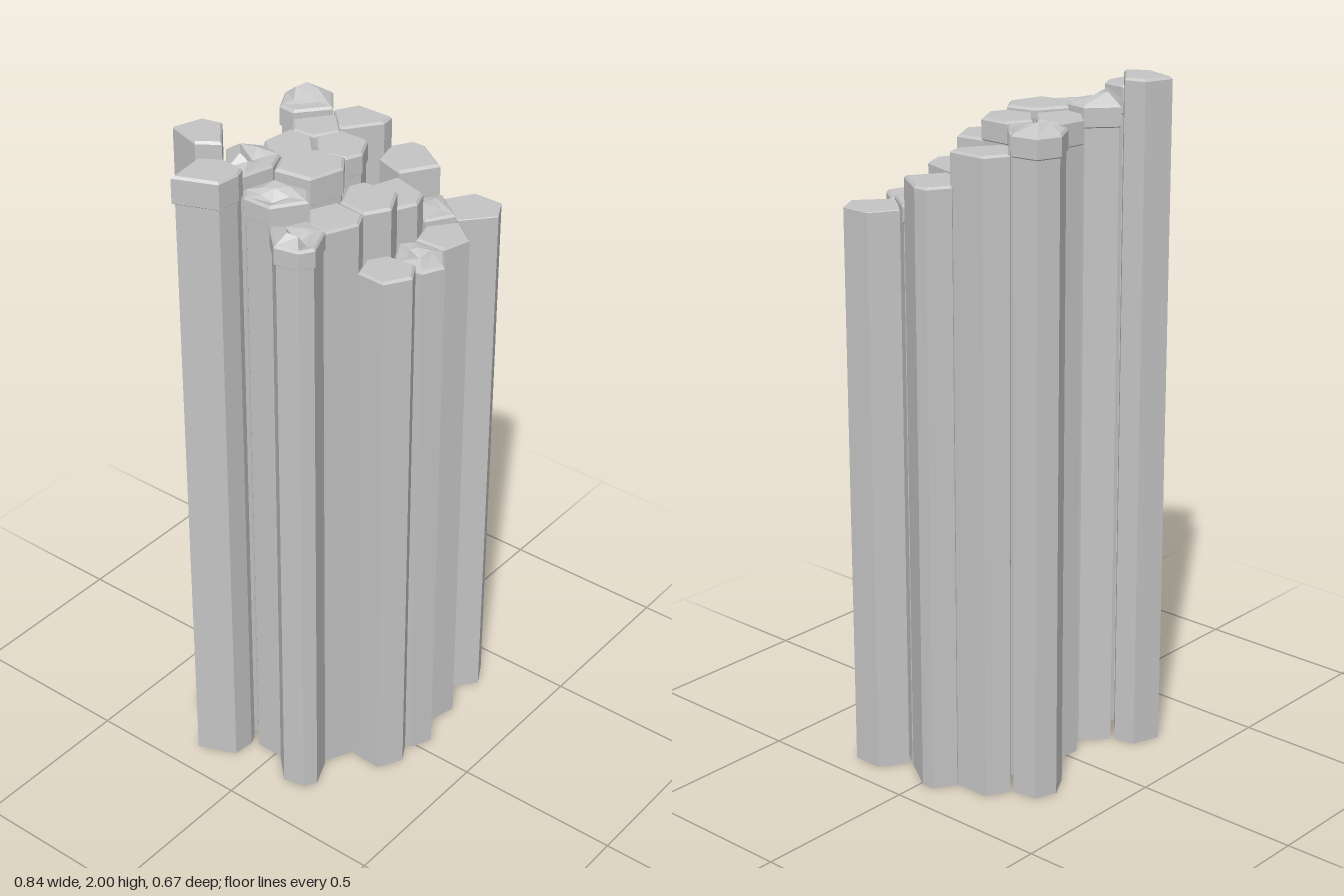
import * as THREE from 'three';

const stone = new THREE.MeshStandardMaterial({ color: 0xc4c4c4 });
stone.name = 'grey basalt';

// One prism column: corners are x, z pairs going clockwise seen from above.
// lip: depth of an overhanging head. chip: raised or sunken inner corners, then the middle.
function column(group, name, height, corners, { lip = 0, chip = null, bevel = 0.007 } = {}) {
  const n = corners.length / 2;
  let cx = 0, cz = 0;
  for (let i = 0; i < n; i++) {
    cx += corners[2 * i] / n;
    cz += corners[2 * i + 1] / n;
  }
  const ring = (scale, y, offsets) => Array.from({ length: n }, (_, i) => [
    cx + (corners[2 * i] - cx) * scale,
    y + (offsets ? offsets[i] : 0),
    cz + (corners[2 * i + 1] - cz) * scale,
  ]);
  const inset = (d) => 1 - d / 0.075;

  // cross-sections from the ground up
  const rings = [];
  if (lip) {
    rings.push(ring(inset(0.006), 0), ring(inset(0.006), height - lip - 0.004), ring(1, height - lip));
  } else {
    rings.push(ring(1, 0));
  }
  rings.push(ring(1, height - bevel), ring(inset(bevel), height));
  if (chip) rings.push(ring(0.45, height, chip));

  const pos = [];
  const tri = (a, b, c) => pos.push(...a, ...b, ...c);
  const top = rings[rings.length - 1];
  const middle = [cx, height + (chip ? chip[n] : 0), cz];
  for (let i = 0; i < n; i++) {
    const j = (i + 1) % n;
    for (let k = 0; k + 1 < rings.length; k++) {
      const lo = rings[k], hi = rings[k + 1];
      tri(lo[i], hi[i], lo[j]);
      tri(hi[i], hi[j], lo[j]);
    }
    tri(middle, top[j], top[i]);
    tri([cx, 0, cz], rings[0][i], rings[0][j]);
  }
  const geometry = new THREE.BufferGeometry();
  geometry.setAttribute('position', new THREE.Float32BufferAttribute(pos, 3));
  geometry.computeVertexNormals();
  const mesh = new THREE.Mesh(geometry, stone);
  mesh.name = name;
  group.add(mesh);
}

export function createModel() {
  const g = new THREE.Group();
  g.name = 'basaltColumns';
  const add = (...args) => column(g, ...args);

  // back row, tallest
  add('backRightOuterColumn', 1.955, [-0.42, -0.21, -0.3, -0.225, -0.262, -0.165, -0.27, -0.095, -0.3, -0.083, -0.37, -0.09], { lip: 0.08 });
  add('backRightTallColumn', 2.0, [-0.27, -0.333, -0.187, -0.305, -0.172, -0.245, -0.262, -0.17, -0.303, -0.228]);
  add('backRightChippedColumn', 1.925, [-0.166, -0.24, -0.09, -0.17, -0.103, -0.105, -0.168, -0.078, -0.258, -0.103, -0.257, -0.165],
    { lip: 0.06, chip: [0.03, 0.015, 0, 0, 0.015, 0.03, -0.005] });
  add('backMiddleColumn', 1.905, [-0.042, -0.212, 0.053, -0.2, 0.057, -0.13, -0.01, -0.067, -0.095, -0.107, -0.083, -0.173], { lip: 0.07 });
  add('backInnerColumn', 1.9, [0.107, -0.238, 0.197, -0.168, 0.195, -0.15, 0.133, -0.09, 0.065, -0.13, 0.06, -0.198]);
  add('backLeftChippedColumn', 1.92, [0.195, -0.335, 0.265, -0.31, 0.277, -0.23, 0.2, -0.168, 0.113, -0.24, 0.118, -0.292],
    { lip: 0.06, chip: [0.025, 0.03, 0.02, 0, 0, 0.005, 0.015] });
  add('backLeftColumn', 1.865, [0.277, -0.227, 0.343, -0.19, 0.343, -0.075, 0.302, -0.07, 0.205, -0.14, 0.205, -0.165]);

  // middle rows
  add('leftColumn', 1.77, [0.347, -0.085, 0.41, -0.048, 0.41, -0.008, 0.342, 0.095, 0.24, 0.03, 0.272, -0.063]);
  add('rightChippedColumn', 1.89, [-0.265, -0.098, -0.17, -0.07, -0.16, 0.037, -0.21, 0.077, -0.297, 0.017, -0.297, -0.07],
    { lip: 0.06, chip: [0.01, 0.02, 0.015, 0, -0.01, 0, 0.015] });
  add('centreColumn', 1.915, [-0.098, -0.11, -0.012, -0.06, 0.005, 0.025, -0.048, 0.063, -0.15, 0.033, -0.166, -0.075], { lip: 0.08 });
  add('centreLeftColumn', 1.905, [0.063, -0.12, 0.132, -0.085, 0.132, 0.005, 0.06, 0.042, 0.013, 0.023, -0.008, -0.06], { lip: 0.06 });
  add('rightOuterColumn', 1.835, [-0.297, 0.015, -0.213, 0.073, -0.227, 0.145, -0.317, 0.184, -0.356, 0.16, -0.37, 0.09],
    { lip: 0.055, chip: [0.015, 0.005, 0, -0.01, 0.02, 0.025, -0.015] });
  add('rightInnerColumn', 1.825, [-0.152, 0.027, -0.075, 0.062, -0.085, 0.157, -0.132, 0.18, -0.222, 0.14, -0.21, 0.075]);
  add('frontCentreColumn', 1.825, [0.015, 0.028, 0.058, 0.048, 0.07, 0.152, -0.015, 0.197, -0.08, 0.157, -0.068, 0.067]);
  add('frontLeftInnerColumn', 1.77, [0.135, 0.013, 0.218, 0.042, 0.187, 0.152, 0.13, 0.175, 0.072, 0.147, 0.06, 0.048]);
  add('leftChippedColumn', 1.685, [0.225, 0.042, 0.34, 0.105, 0.267, 0.205, 0.19, 0.157],
    { lip: 0.05, chip: [0.005, 0.01, 0, 0.005, 0.01] });

  // front row, shortest
  add('frontLeftColumn', 1.67, [0.342, 0.112, 0.42, 0.16, 0.42, 0.25, 0.353, 0.287, 0.267, 0.213, 0.275, 0.185], { bevel: 0.002 });
  add('frontRightColumn', 1.69, [-0.082, 0.164, -0.028, 0.197, -0.02, 0.283, -0.078, 0.317, -0.15, 0.275, -0.145, 0.187]);
  add('frontChippedColumn', 1.668, [0.073, 0.155, 0.107, 0.184, 0.117, 0.277, 0.048, 0.33, -0.015, 0.3, -0.017, 0.207],
    { chip: [0, 0.005, 0.01, 0.005, 0.015, 0.005, -0.01] });
  add('frontMiddleColumn', 1.67, [0.187, 0.16, 0.265, 0.22, 0.205, 0.297, 0.12, 0.275, 0.115, 0.182]);
  return g;
}
